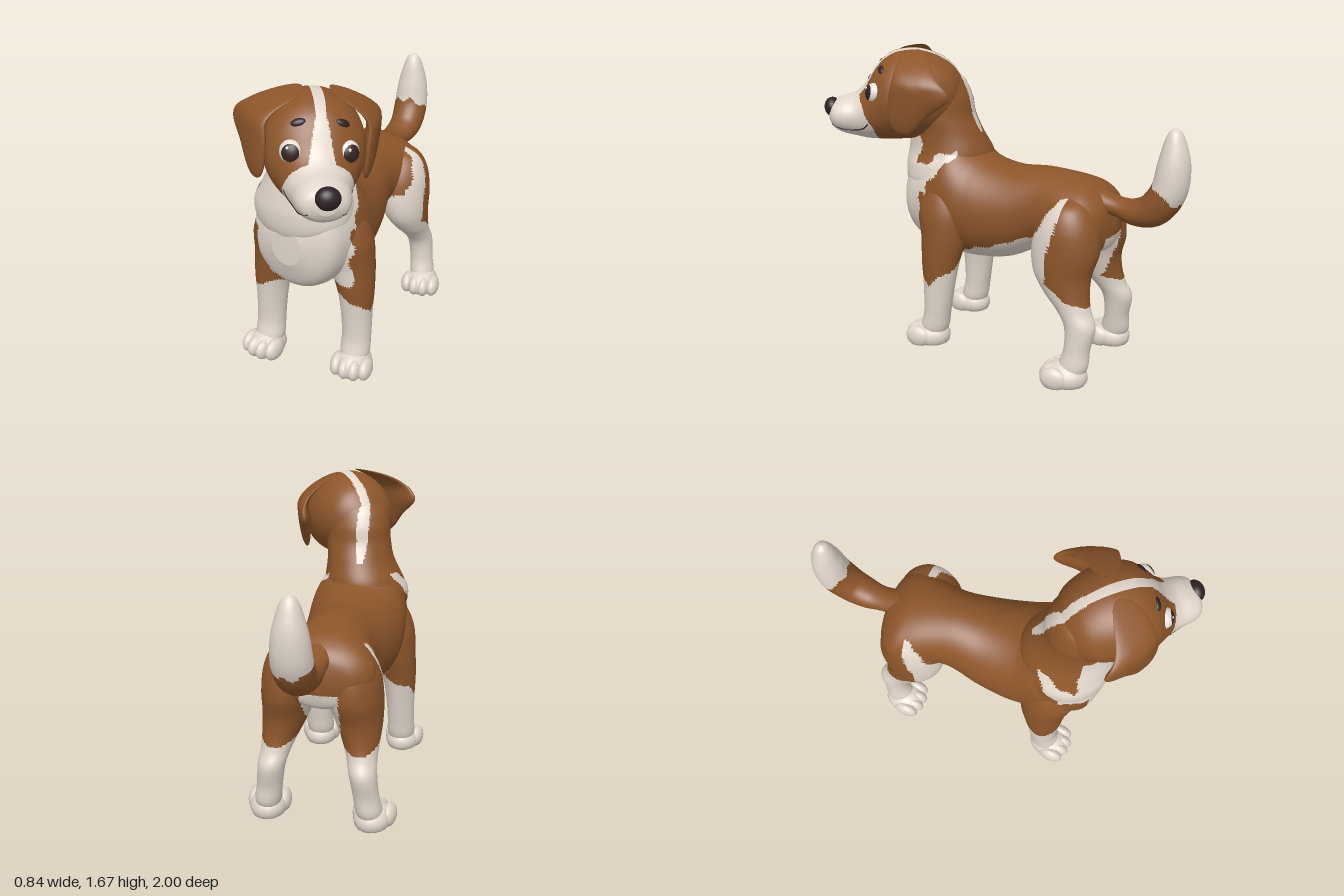
import * as THREE from 'three';
import { mergeVertices } from 'three/addons/utils/BufferGeometryUtils.js';

const colour = (name, color) => {
  const m = new THREE.MeshStandardMaterial({ color });
  m.name = name;
  return m;
};
const MID = -0.035; // the body's own centre line

// Weld, make the faces point outward and smooth the normals
function finish(geo) {
  geo.deleteAttribute('uv');
  geo.deleteAttribute('normal');
  geo = mergeVertices(geo, 1e-5);
  const p = geo.attributes.position, idx = Array.from(geo.index.array);
  const [a, b, c] = [0, 0, 0].map(() => new THREE.Vector3());
  let volume = 0;
  for (let i = 0; i < idx.length; i += 3) {
    [a, b, c].forEach((v, k) => v.fromBufferAttribute(p, idx[i + k]));
    volume += a.dot(b.cross(c));
  }
  if (volume < 0) idx.reverse();
  geo.setIndex(idx);
  geo.computeVertexNormals();
  return geo;
}

// Smooth curve through rows of numbers, t from 0 to 1
const spline = rows => t => {
  const n = rows.length - 1, k = Math.min(Math.floor(t * n), n - 1), f = t * n - k;
  const [p, q, r, s] = [-1, 0, 1, 2].map(d => rows[Math.min(Math.max(k + d, 0), n)]);
  return q.map((_, i) => q[i] + 0.5 * f * (r[i] - p[i] + f * (2 * p[i] - 5 * q[i] + 4 * r[i] - s[i]
    + f * (3 * (q[i] - r[i]) + s[i] - p[i]))));
};

// Point on an elliptical section; row = [x, y, z, half width, half depth]
function sectionPoint(at, t, angle, up) {
  const [x, y, z, a, b] = at(t);
  let u = up;
  if (!u) { // depth axis square to the path
    const p = at(Math.max(t - 0.01, 0)), q = at(Math.min(t + 0.01, 1));
    u = new THREE.Vector3(0, q[2] - p[2], p[1] - q[1]).normalize();
  }
  return new THREE.Vector3(x + Math.max(a, 0.001) * Math.cos(angle), y, z)
    .addScaledVector(u, Math.max(b, 0.001) * Math.sin(angle));
}

// Skin a closed tube over the sections
function loft(rows, up, rings, seg) {
  const at = spline(rows), pos = [], idx = [];
  for (let i = 0; i <= rings; i++)
    for (let j = 0; j < seg; j++)
      pos.push(...sectionPoint(at, i / rings, (j / seg) * Math.PI * 2, up).toArray());
  for (let i = 0; i < rings; i++)
    for (let j = 0; j < seg; j++) {
      const k = (j + 1) % seg, a = i * seg + j, b = i * seg + k;
      idx.push(a, a + seg, b, b, a + seg, b + seg);
    }
  [0, rings].forEach((ring, e) => {
    const centre = pos.length / 3;
    pos.push(...at(ring / rings).slice(0, 3));
    for (let j = 0; j < seg; j++) {
      const a = ring * seg + j, b = ring * seg + (j + 1) % seg;
      idx.push(centre, e ? b : a, e ? a : b);
    }
  });
  const geo = new THREE.BufferGeometry();
  geo.setAttribute('position', new THREE.Float32BufferAttribute(pos, 3));
  geo.setIndex(idx);
  return finish(geo);
}

// Sort faces into two colour groups by a rule: true means the second colour
function paint(geo, rule) {
  const p = geo.attributes.position, idx = geo.index.array, sets = [[], []];
  for (let i = 0; i < idx.length; i += 3) {
    const f = [idx[i], idx[i + 1], idx[i + 2]];
    const mean = get => f.reduce((s, v) => s + get(v), 0) / 3;
    sets[rule(mean(v => p.getX(v)), mean(v => p.getY(v)), mean(v => p.getZ(v))) ? 1 : 0].push(...f);
  }
  geo.setIndex([...sets[0], ...sets[1]]);
  geo.addGroup(0, sets[0].length, 0);
  geo.addGroup(sets[0].length, sets[1].length, 1);
  return geo;
}

// Straight-line lookup in rising [key, value] pairs
function lookup(table, k) {
  let i = 1;
  while (i < table.length - 1 && table[i][0] < k) i++;
  const [a, b] = [table[i - 1], table[i]];
  return THREE.MathUtils.lerp(a[1], b[1], THREE.MathUtils.clamp((k - a[0]) / (b[0] - a[0]), 0, 1));
}
const CHEST = [[0.9, 0.43], [1.0, 0.36], [1.1, 0.29], [1.14, 0.28]];
const THIGH_BACK = [[0.42, -0.57], [0.48, -0.45], [0.55, -0.36], [0.7, -0.36], [0.8, -0.4], [0.96, -0.42]];
const THIGH_FRONT = [[0.72, -0.18], [0.75, -0.25], [0.85, -0.31], [0.96, -0.38]];

// Where the body coat is white
function coat(x, y, z) {
  const side = Math.abs(x - MID), wobble = 0.007 * (Math.sin(41 * y + 23 * z) + Math.sin(37 * z - 31 * y));
  y += wobble;
  if (y > 1.2 && z < 0.42 && Math.abs(x + 0.06) < 0.018 + 0.015 * Math.max(0, Math.sin(9 * y - 11))) return true;
  if (z > 0.22) {
    const zz = (x < MID ? z - 0.04 : z) + wobble;
    if (y > 0.9) { // ruff, cut by the brown nape
      const nape = zz < 0.49 && y > 1.14 - 0.52 * (zz - 0.28);
      return zz > lookup(CHEST, y) && !nape && y < 1.27;
    }
    if (y > 0.56 && z > 0.38 && side + wobble < (x < MID ? 0.19 : 0.265)) return true;
    if (side < 0.14 && y < 0.7) return true;
    return y < 0.37 + 0.9 * Math.abs(zz - 0.37) + 0.8 * Math.max(0, 0.25 - side);
  }
  if (z > -0.2) return y < 0.655 - 0.35 * z;
  if (y < 0.42 || (side < 0.1 && y < 0.74)) return true;
  return y < 0.96 && z > lookup(THIGH_BACK, y) && (y < 0.72 || z < lookup(THIGH_FRONT, y));
}

// Where the head is white: blaze and muzzle
const blaze = (x, y, z) =>
  (y > -0.05 && Math.abs(x) < 0.026 + 0.3 * Math.max(0, z - 0.18)) ||
  z > 0.3 - 0.45 * Math.max(0, -0.02 - y) + 0.004 * Math.sin(50 * y);

export function createModel() {
  const brown = colour('brownCoat', 0x8c552a), white = colour('whiteCoat', 0xe0d5ca);
  const nearBlack = colour('noseDark', 0x2f2124), iris = colour('eyeDark', 0x35231f);
  const eyeWhite = colour('eyeWhite', 0xece6e0);
  const model = new THREE.Group();
  const Y = new THREE.Vector3(0, 1, 0), Z = new THREE.Vector3(0, 0, 1);
  const add = (parent, name, geo, mat) => {
    const m = new THREE.Mesh(geo, mat);
    m.name = name;
    parent.add(m);
    return m;
  };
  const ball = (parent, name, mat, pos, scale) => {
    const m = add(parent, name, new THREE.SphereGeometry(1, 24, 16), mat);
    m.position.set(...pos);
    m.scale.set(...scale);
    return m;
  };

  // Torso: [z, top, bottom, half width]
  const torso = [[-0.605, 0.83, 0.77, 0.02], [-0.575, 0.94, 0.68, 0.18], [-0.5, 1.01, 0.65, 0.26],
    [-0.4, 1.045, 0.63, 0.255], [-0.2, 1.065, 0.62, 0.21], [0, 1.055, 0.53, 0.245], [0.18, 1.095, 0.5, 0.275],
    [0.33, 1.2, 0.5, 0.28], [0.5, 1.17, 0.53, 0.255], [0.6, 1.06, 0.6, 0.205], [0.66, 0.94, 0.74, 0.08]]
    .map(([z, t, b, w]) => [MID, (t + b) / 2, z, w, (t - b) / 2]);
  add(model, 'torso', paint(loft(torso, Y, 136, 100), coat), [brown, white]);

  // Neck and ruff: [y, front, back, half width, centre x]
  const neck = [[0.78, 0.56, 0.3, 0.08, -0.04], [0.85, 0.63, 0.25, 0.18, -0.04], [0.93, 0.67, 0.22, 0.25, -0.04],
    [1.02, 0.68, 0.18, 0.255, -0.045], [1.1, 0.67, 0.18, 0.22, -0.04], [1.2, 0.65, 0.225, 0.19, -0.02],
    [1.3, 0.63, 0.27, 0.185, -0.005], [1.4, 0.62, 0.29, 0.18, 0], [1.5, 0.6, 0.34, 0.15, 0.01], [1.56, 0.55, 0.42, 0.04, 0.02]]
    .map(([y, f, b, w, x]) => [x, y, (f + b) / 2, w, (f - b) / 2]);
  add(model, 'neck', paint(loft(neck, Z, 100, 100), coat), [brown, white]);

  // Legs for the model's left: [x, y, z, half width, half depth]
  const front = [[0.08, 0.97, 0.35, 0.04, 0.05], [0.1, 0.93, 0.35, 0.12, 0.12], [0.13, 0.8, 0.35, 0.15, 0.16],
    [0.17, 0.65, 0.34, 0.125, 0.135], [0.2, 0.5, 0.35, 0.1, 0.11], [0.21, 0.35, 0.358, 0.085, 0.09],
    [0.215, 0.2, 0.37, 0.08, 0.077], [0.215, 0.1, 0.39, 0.08, 0.08], [0.215, 0.03, 0.4, 0.05, 0.05]];
  const hind = [[0.1, 0.98, -0.42, 0.04, 0.04], [0.12, 0.93, -0.42, 0.12, 0.11], [0.14, 0.83, -0.415, 0.15, 0.165],
    [0.16, 0.7, -0.41, 0.145, 0.185], [0.18, 0.58, -0.405, 0.125, 0.16], [0.2, 0.48, -0.44, 0.1, 0.125],
    [0.215, 0.4, -0.49, 0.08, 0.095], [0.23, 0.32, -0.535, 0.072, 0.085], [0.245, 0.2, -0.53, 0.068, 0.07],
    [0.26, 0.1, -0.515, 0.07, 0.08], [0.265, 0.03, -0.5, 0.05, 0.05]];
  // Flat-soled paw lumps
  const lump = (x, y, z, rx, ry, rz) => {
    const g = new THREE.SphereGeometry(1, 18, 14).scale(rx, ry, rz).translate(x, y, z), p = g.attributes.position;
    for (let i = 0; i < p.count; i++) p.setY(i, Math.max(0, p.getY(i)));
    return finish(g);
  };
  for (const s of [1, -1]) {
    const label = s > 0 ? 'left' : 'right';
    for (const [name, rows, px, pz, shift, mid] of [
      ['Front', front, 0.222, 0.42, s > 0 ? 0 : 0.045, MID], ['Hind', hind, 0.272, -0.48, 0, -0.012]]) {
      const flipX = x => (s > 0 ? x : 2 * mid - x);
      const leg = rows.map(([x, y, z, a, b]) => [flipX(x), y, z + shift, a, b]);
      add(model, label + name + 'Leg', paint(loft(leg, Z, 80, 48), coat), [brown, white]);
      const paw = new THREE.Group();
      paw.name = label + name + 'Paw';
      model.add(paw);
      add(paw, 'heel', lump(0, 0.045, 0, 0.1, 0.085, 0.12), white);
      [-0.078, -0.027, 0.027, 0.078].forEach(x =>
        add(paw, 'toe', lump(x, 0.05, Math.abs(x) > 0.05 ? 0.04 : 0.06, 0.039, 0.062, 0.075), white));
      paw.position.set(flipX(px), 0, pz + shift);
      paw.rotation.y = s * 0.12;
    }
  }

  // Tail with a white tip
  const tail = [[-0.02, 0.94, -0.5, 0.075, 0.06], [-0.02, 0.915, -0.62, 0.07, 0.052], [-0.01, 0.905, -0.72, 0.085, 0.07],
    [0, 0.94, -0.82, 0.095, 0.088], [0, 1.04, -0.89, 0.1, 0.09], [0, 1.17, -0.91, 0.088, 0.083],
    [0, 1.28, -0.91, 0.06, 0.058], [0, 1.34, -0.908, 0.035, 0.032], [0, 1.362, -0.907, 0.004, 0.004]];
  add(model, 'tail', paint(loft(tail, null, 72, 48),
    (x, y, z) => y > 1.08 + 0.8 * (z + 0.83) + 0.015 * Math.sin(70 * x)), [brown, white]);

  // Head, turned and tipped toward the model's left: [z, top, bottom, half width]
  const head = new THREE.Group();
  head.name = 'head';
  head.position.set(0.08, 1.42, 0.58);
  head.rotation.set(0, 0.63, -0.1, 'YXZ');
  model.add(head);
  const skull = [[-0.275, 0.03, -0.05, 0.02], [-0.25, 0.1, -0.12, 0.11], [-0.18, 0.18, -0.2, 0.19], [-0.05, 0.235, -0.25, 0.235],
    [0.07, 0.235, -0.26, 0.24], [0.15, 0.2, -0.26, 0.225], [0.21, 0.14, -0.26, 0.19], [0.27, 0.05, -0.255, 0.155],
    [0.33, 0, -0.24, 0.135], [0.4, -0.02, -0.22, 0.125], [0.45, -0.045, -0.19, 0.1], [0.475, -0.09, -0.15, 0.04]]
    .map(([z, t, b, w]) => [0, (t + b) / 2, z, w, (t - b) / 2]);
  add(head, 'skull', paint(loft(skull, Y, 130, 116), blaze), [brown, white]);
  ball(head, 'nose', nearBlack, [0.005, -0.078, 0.455], [0.058, 0.054, 0.045]);

  // Ear outline as (z, y), bent outward into a hanging flap
  const outline = new THREE.CatmullRomCurve3([[0.07, 0.22], [-0.05, 0.245], [-0.11, 0.15], [-0.175, 0.05], [-0.07, -0.05],
    [0.05, -0.165], [0.12, -0.14], [0.145, -0.02], [0.12, 0.12]].map(([z, y]) => new THREE.Vector3(0, y, z)), true);
  const headAt = spline(skull);
  for (const s of [1, -1]) {
    const label = s > 0 ? 'left' : 'right';
    const ear = new THREE.SphereGeometry(1, 48, 28), p = ear.attributes.position, uv = ear.attributes.uv;
    for (let i = 0; i < p.count; i++) {
      const h = p.getY(i), rho = Math.sqrt(Math.max(0, 1 - h * h)), o = outline.getPoint(uv.getX(i) % 1);
      const z = o.z * rho, y = 0.03 + (o.y - 0.03) * rho;
      const bend = 0.262 - 0.33 * (z - 0.07) - 9 * Math.max(0, y - 0.09) ** 2;
      p.setXYZ(i, s * (bend + h * 0.036), y, z);
    }
    add(head, label + 'Ear', finish(ear), brown);

    // Eye set into the face, with a dark iris cap and small glint
    const eye = new THREE.Group();
    eye.name = label + 'Eye';
    eye.position.set(s * 0.128, 0.03, 0.218);
    eye.rotation.set(-0.2, s * 0.5, 0, 'YXZ');
    head.add(eye);
    ball(eye, 'eyeball', eyeWhite, [0, 0, 0], [0.053, 0.055, 0.0425]);
    add(eye, 'iris', new THREE.SphereGeometry(0.0555, 28, 12, 0, Math.PI * 2, 0, 0.8)
      .rotateX(Math.PI / 2).rotateY(-s * 0.2).scale(1, 1.03, 0.81), iris);
    ball(eye, 'glint', eyeWhite, [-0.014 - s * 0.008, 0.02, 0.039], [0.008, 0.008, 0.005]);

    const brow = ball(head, label + 'Brow', nearBlack, [s * 0.1, 0.15, 0.176], [0.034, 0.018, 0.012]);
    brow.rotation.set(-0.7, s * 0.35, -s * 0.15);

    // Mouth line lying on the muzzle
    const line = [[6.8, -0.25], [7.3, -0.42], [8.2, -0.52], [9.2, -0.57], [10.2, -0.6]].map(([k, a]) =>
      sectionPoint(headAt, k / (skull.length - 1), s > 0 ? a : Math.PI - a, Y));
    add(head, label + 'Mouth', new THREE.TubeGeometry(new THREE.CatmullRomCurve3(line), 32, 0.004, 8), nearBlack);
  }
  return model;
}
